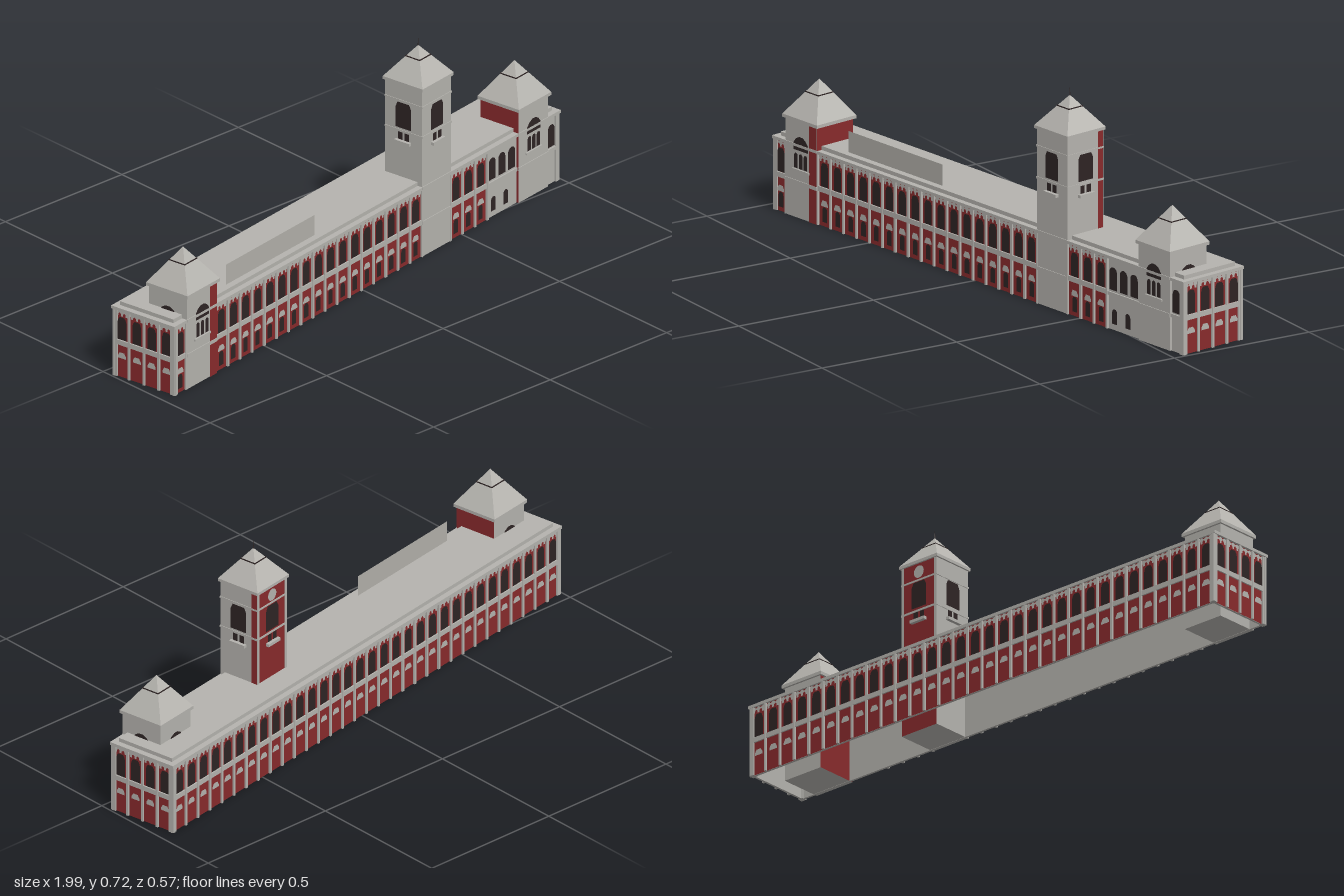
import * as THREE from 'three';

const material = (name, color) => Object.assign(new THREE.MeshStandardMaterial({ color }), { name });

// Flat polygon, optionally mirrored in x: points run up the right-hand side
function plate(half) {
  const left = half.filter(p => p[0] > 0).map(([x, y]) => [-x, y]).reverse();
  return new THREE.ShapeGeometry(new THREE.Shape([...half, ...left].map(p => new THREE.Vector2(...p))));
}

// Round-headed opening
function arch(w, y0, y1) {
  const r = w / 2, s = new THREE.Shape();
  s.moveTo(-r, y0).lineTo(r, y0).lineTo(r, y1 - r);
  s.absarc(0, y1 - r, r, 0, Math.PI, false);
  return new THREE.ShapeGeometry(s, 5);
}

export function createModel() {
  const stone = material('stone', 0xb5b3ae);
  const brick = material('brick', 0x882a2c);
  const dark = material('darkOpening', 0x2e2424);
  const sheet = material('screenStone', 0xb2b0aa);
  sheet.side = THREE.DoubleSide;

  const root = new THREE.Group();
  root.name = 'building';
  const body = new THREE.Group();
  body.name = 'turnedBuilding';
  body.rotation.y = 0.163;
  root.add(body);

  const add = (parent, name, geo, mat, x = 0, y = 0, z = 0) => {
    const m = new THREE.Mesh(geo, mat);
    m.name = name;
    m.position.set(x, y, z);
    parent.add(m);
    return m;
  };
  // Box given by its centre in x and z and its bottom and top in y
  const box = (parent, name, mat, w, y0, y1, d, x = 0, z = 0) =>
    add(parent, name, new THREE.BoxGeometry(w, y1 - y0, d), mat, x, (y0 + y1) / 2, z);
  const side = (parent, name, angle, x, z) => {
    const g = new THREE.Group();
    g.name = name;
    g.rotation.y = angle;
    g.position.set(x, 0, z);
    parent.add(g);
    return g;
  };

  // Hollow walls and roof
  const U = 0.98, V = 0.119;
  for (const s of [-1, 1]) {
    box(body, 'longWall', stone, 2 * U, 0, 0.24, 0.008, 0, s * (V - 0.004));
    box(body, 'endWall', stone, 0.008, 0, 0.24, 2 * V - 0.016, s * (U - 0.004), 0);
  }
  box(body, 'cornice', stone, 1.98, 0.235, 0.245, 0.254);
  box(body, 'roofStep', stone, 1.94, 0.245, 0.258, 0.214);

  // Repeating bay details
  const upperWindow = plate([[0.0175, 0.131], [0.0175, 0.193], [0.014, 0.204], [0.009, 0.21]]);
  const hood = plate([[0.016, 0.066], [0.016, 0.074], [0.009, 0.086]]);
  const tooth = plate([[0.004, 0.214], [0.004, 0.221], [0.0095, 0.226], [0.0095, 0.23], [0, 0.235]]);
  const lowerWindow = arch(0.022, 0.014, 0.064);
  const pilaster = new THREE.BoxGeometry(0.008, 0.235, 0.009);

  function bays(wall, from, to, count, groundWindows) {
    const step = (to - from) / count, mid = (from + to) / 2;
    add(wall, 'brickPanel', new THREE.PlaneGeometry(to - from, 0.235), brick, mid, 0.1175, 0.001);
    box(wall, 'stringCourse', stone, to - from, 0.113, 0.13, 0.01, mid, 0.001);
    for (let i = 0; i <= count; i++) {
      const x = from + i * step;
      add(wall, 'pilaster', pilaster, stone, x, 0.1175, 0.003);
      if (i === count) break;
      const c = x + step / 2;
      add(wall, 'upperWindow', upperWindow, dark, c, 0, 0.0025);
      add(wall, 'windowHood', hood, stone, c, 0, 0.0025);
      if (groundWindows) add(wall, 'groundWindow', lowerWindow, dark, c, 0, 0.002);
      for (const t of [-1, 0, 1]) add(wall, 'friezeTooth', tooth, stone, c + t * 0.019, 0, 0.0025);
    }
  }

  const front = side(body, 'frontFacade', 0, 0, V);
  bays(front, -U, -0.926, 1, true);
  bays(front, -0.774, 0.284, 17, true);
  bays(front, 0.428, 0.618, 3, true);
  bays(side(body, 'backFacade', Math.PI, 0, -V), -U, U, 32, false);
  bays(side(body, 'rightEnd', Math.PI / 2, U, 0), -V, V, 4, false);
  bays(side(body, 'leftEnd', -Math.PI / 2, -U, 0), -V, V, 4, false);
  for (const x of [-1, 1]) for (const z of [-1, 1])
    box(body, 'cornerPier', stone, 0.018, 0, 0.235, 0.018, x * (U - 0.003), z * (V - 0.003));

  // Plain stone stretch of the front beside the right tower
  for (const x of [0.645, 0.695, 0.745])
    add(front, 'archedWindow', arch(0.036, 0.132, 0.208), dark, x, 0, 0.002);
  for (const x of [0.652, 0.715])
    add(front, 'smallWindow', arch(0.024, 0.02, 0.07), dark, x, 0, 0.002);
  add(front, 'archedWindow', arch(0.034, 0.13, 0.208), dark, 0.948, 0, 0.002);
  box(front, 'stringCourse', stone, 0.155, 0.113, 0.125, 0.008, 0.694, 0.001);
  box(front, 'stringCourse', stone, 0.06, 0.113, 0.125, 0.008, 0.95, 0.001);

  // Thin upright screen on the roof
  add(body, 'roofScreen', new THREE.PlaneGeometry(0.453, 0.075), sheet, -0.444, 0.291, 0.084);

  // Square pyramid roof with eave and dark band
  function pyramid(g, half, eave, base, apex, bandY) {
    box(g, 'eave', stone, 2 * half, eave, base, 2 * half);
    const cone = new THREE.ConeGeometry(half * Math.SQRT2, apex - base, 4, 1, true).toNonIndexed();
    cone.rotateY(Math.PI / 4);
    cone.computeVertexNormals();
    add(g, 'pyramidRoof', cone, stone, 0, (base + apex) / 2, 0);
    const w = 2 * (half * (apex - bandY) / (apex - base) + 0.0015);
    box(g, 'roofBand', dark, w, bandY - 0.0015, bandY + 0.0015, w);
  }

  function tower(name, x, half, top, faces) {
    const g = side(body, name, 0, x, 0.051);
    add(g, 'towerBody', new THREE.BoxGeometry(2 * half, top - 0.001, 2 * half), faces, 0, (top + 0.001) / 2, 0);
    const face = i => side(g, 'towerFace', i * Math.PI / 2,
      Math.round(Math.sin(i * Math.PI / 2)) * half, Math.round(Math.cos(i * Math.PI / 2)) * half);
    return { g, faces: [0, 1, 2, 3].map(face) };
  }

  // Two low end towers; faces run front, right, back, left
  for (const s of [-1, 1]) {
    const mats = [s < 0 ? brick : stone, s < 0 ? stone : brick, stone, stone, stone, stone];
    const { g, faces } = tower(s < 0 ? 'leftTower' : 'rightTower', s * 0.849, 0.076, 0.324, mats);
    pyramid(g, 0.083, 0.322, 0.333, 0.452, 0.408);
    faces.forEach((f, i) => {
      if (i === (s < 0 ? 1 : 3)) return;
      add(f, 'towerArch', plate([[0.034, 0.226], [0.034, 0.25], [0.023, 0.264], [0.008, 0.272]]), dark, 0, 0, 0.002);
    });
    for (const x of [-0.023, 0, 0.023])
      add(faces[0], 'tripleWindow', arch(0.017, 0.166, 0.216), dark, x, 0, 0.002);
    box(faces[0], 'windowSill', stone, 0.08, 0.156, 0.163, 0.01);
    box(faces[0], 'towerBand', stone, 0.152, 0.113, 0.125, 0.005);
    box(faces[0], 'towerBand', stone, 0.152, 0.237, 0.246, 0.005);
    if (s < 0)
      add(faces[0], 'brickStrip', new THREE.PlaneGeometry(0.036, 0.322), brick, 0.057, 0.161, 0.001);
  }

  // Tall clock tower
  const H = 0.074;
  const { g, faces } = tower('clockTower', 0.356, H, 0.585, [stone, stone, stone, stone, stone, brick]);
  pyramid(g, 0.08, 0.583, 0.593, 0.696, 0.66);
  add(g, 'spire', new THREE.CylinderGeometry(0.0005, 0.0025, 0.035, 6), dark, 0, 0.7025, 0);
  const belfry = plate([[0.031, 0.43], [0.031, 0.502], [0.023, 0.519]]);
  faces.forEach((f, i) => {
    add(f, 'belfryOpening', belfry, dark, 0, 0, 0.002);
    add(f, 'clockFace', new THREE.CircleGeometry(0.021, 20), stone, 0, 0.553, 0.002);
    for (const x of [-0.013, 0.013])
      add(f, 'smallWindow', new THREE.PlaneGeometry(0.018, 0.026), dark, x, 0.402, 0.002);
    box(f, 'balcony', stone, 0.06, 0.378, 0.388, 0.024);
    box(f, 'towerBand', stone, 2 * H + 0.004, 0.416, 0.423, 0.004);
    box(f, 'towerBand', stone, 2 * H + 0.004, 0.522, 0.528, 0.004);
    if (i === 2) for (const x of [-1, 1])
      box(f, 'cornerStrip', stone, 0.01, 0.25, 0.583, 0.004, x * (H - 0.005));
  });
  add(faces[1], 'brickStrip', new THREE.PlaneGeometry(0.022, 0.333), brick, H - 0.011, 0.4165, 0.001);
  box(faces[0], 'towerBand', stone, 2 * H, 0.113, 0.125, 0.005);
  box(faces[0], 'towerBand', stone, 2 * H, 0.237, 0.246, 0.005);

  return root;
}
